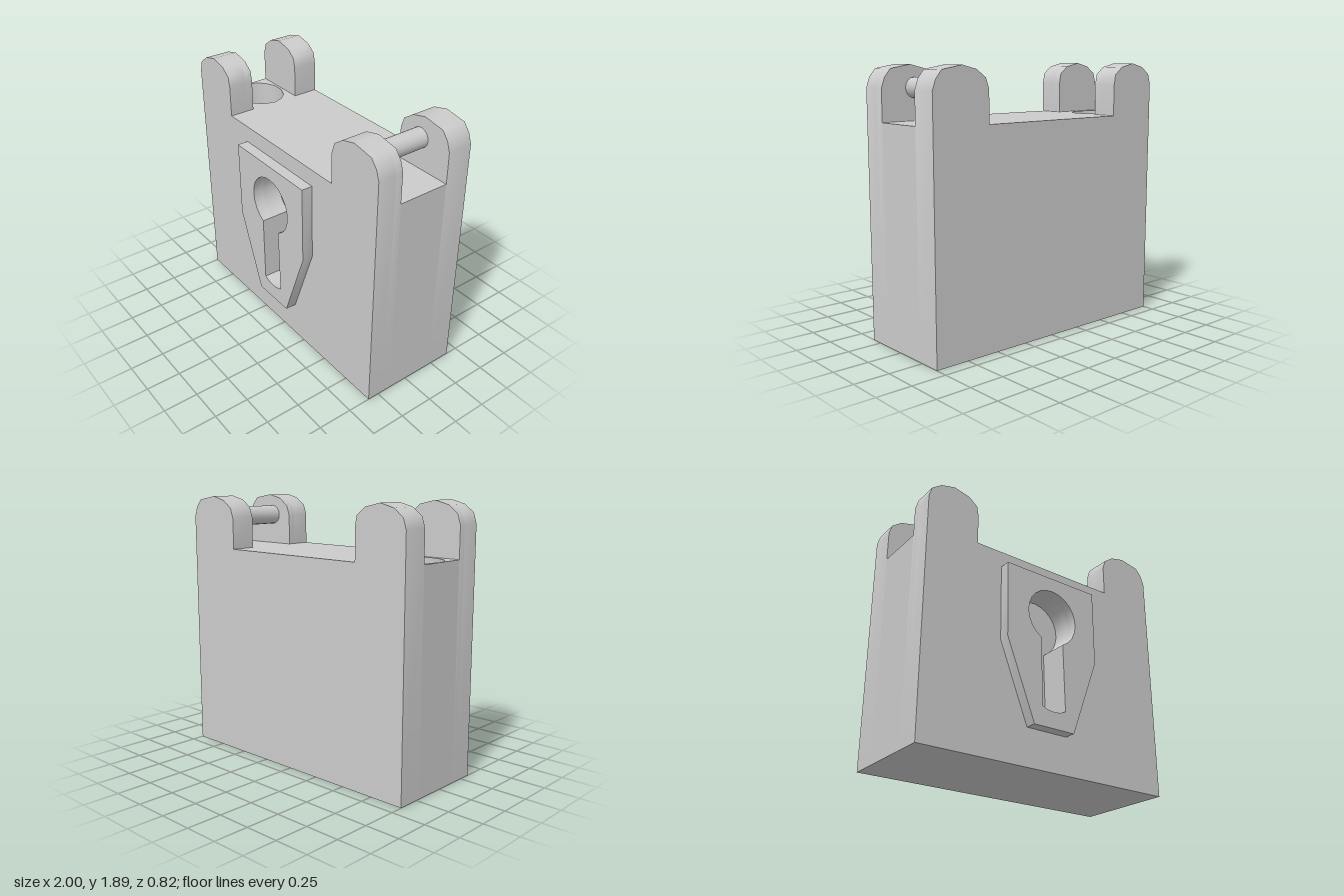
import * as THREE from 'three';
import { toCreasedNormals } from 'three/addons/utils/BufferGeometryUtils.js';

const BACK = -0.41, GAP_BACK = -0.225, GAP_FRONT = 0.15, KEY_FLOOR = 0.2, FRONT = 0.335, PLATE_FRONT = 0.415;
const TOP = 1.52, SOCKET_FLOOR = 1.1;

const material = new THREE.MeshStandardMaterial({ color: 0xcccccc });

const toPoints = (list) => list.map(([x, y]) => new THREE.Vector2(x, y));

function addMesh(group, name, geometry) {
  const mesh = new THREE.Mesh(toCreasedNormals(geometry, 0.75), material);
  mesh.name = name;
  group.add(mesh);
  return mesh;
}

// Extrudes an outline with optional holes between two z positions
function slab(outline, z0, z1, holes = []) {
  const shape = new THREE.Shape(toPoints(outline));
  shape.holes = holes.map((h) => new THREE.Path(h));
  return new THREE.ExtrudeGeometry(shape, { depth: z1 - z0, bevelEnabled: false }).translate(0, 0, z0);
}

// Round-headed keyhole with a shallow curved foot
function keyholePoints() {
  const points = [];
  const start = -65 * Math.PI / 180, end = 242 * Math.PI / 180, steps = 20;
  for (let i = 0; i <= steps; i++) {
    const a = start + (end - start) * i / steps;
    points.push(new THREE.Vector2(-0.018 + 0.206 * Math.cos(a), 1.09 + 0.206 * Math.sin(a)));
  }
  return points.concat(toPoints([[-0.115, 0.41], [-0.065, 0.392], [-0.018, 0.387], [0.03, 0.392], [0.078, 0.41]]));
}

export function createModel() {
  const group = new THREE.Group();
  group.name = 'padlock';

  // Body silhouette with two rounded ears
  const outline = [
    [-1, 0], [1, 0],
    [1, 1.74], [0.975, 1.81], [0.93, 1.866], [0.775, 1.893], [0.665, 1.866], [0.59, 1.813], [0.565, 1.74],
    [0.565, TOP], [-0.6, TOP],
    [-0.6, 1.74], [-0.613, 1.813], [-0.68, 1.866], [-0.8, 1.893], [-0.905, 1.866], [-0.977, 1.813], [-1, 1.74],
  ];
  const keyhole = keyholePoints();
  addMesh(group, 'bodyBack', slab(outline, BACK, GAP_BACK));
  addMesh(group, 'bodyKeyholeFloor', slab(outline, GAP_FRONT, KEY_FLOOR));
  addMesh(group, 'bodyFront', slab(outline, KEY_FLOOR, FRONT, [keyhole]));

  // Middle of the body, with the shackle socket sunk into its top
  const midDepth = GAP_FRONT - GAP_BACK, midZ = (GAP_FRONT + GAP_BACK) / 2;
  addMesh(group, 'bodyCore', new THREE.BoxGeometry(2, SOCKET_FLOOR, midDepth).translate(0, SOCKET_FLOOR / 2, midZ));
  const socket = new THREE.Path().absellipse(-0.8, 0.043, 0.193, 0.168, 0, Math.PI * 2).getPoints(7);
  socket.pop();
  const socketBlock = slab([[-1, -GAP_FRONT], [1, -GAP_FRONT], [1, -GAP_BACK], [-1, -GAP_BACK]], SOCKET_FLOOR, TOP, [socket]);
  addMesh(group, 'shackleSocket', socketBlock.rotateX(-Math.PI / 2));

  // Hinge pin between the two ears on the left
  const pin = new THREE.CylinderGeometry(0.07, 0.07, midDepth, 16, 1, true);
  addMesh(group, 'hingePin', pin.rotateX(Math.PI / 2).translate(0.745, 1.74, midZ));

  // Tapered plate around the keyhole
  const plate = [[-0.4, 1.4], [-0.4, 0.84], [-0.184, 0.27], [0.147, 0.27], [0.362, 0.84], [0.362, 1.4]];
  addMesh(group, 'keyholePlate', slab(plate, FRONT, PLATE_FRONT, [keyhole]));

  return group;
}
